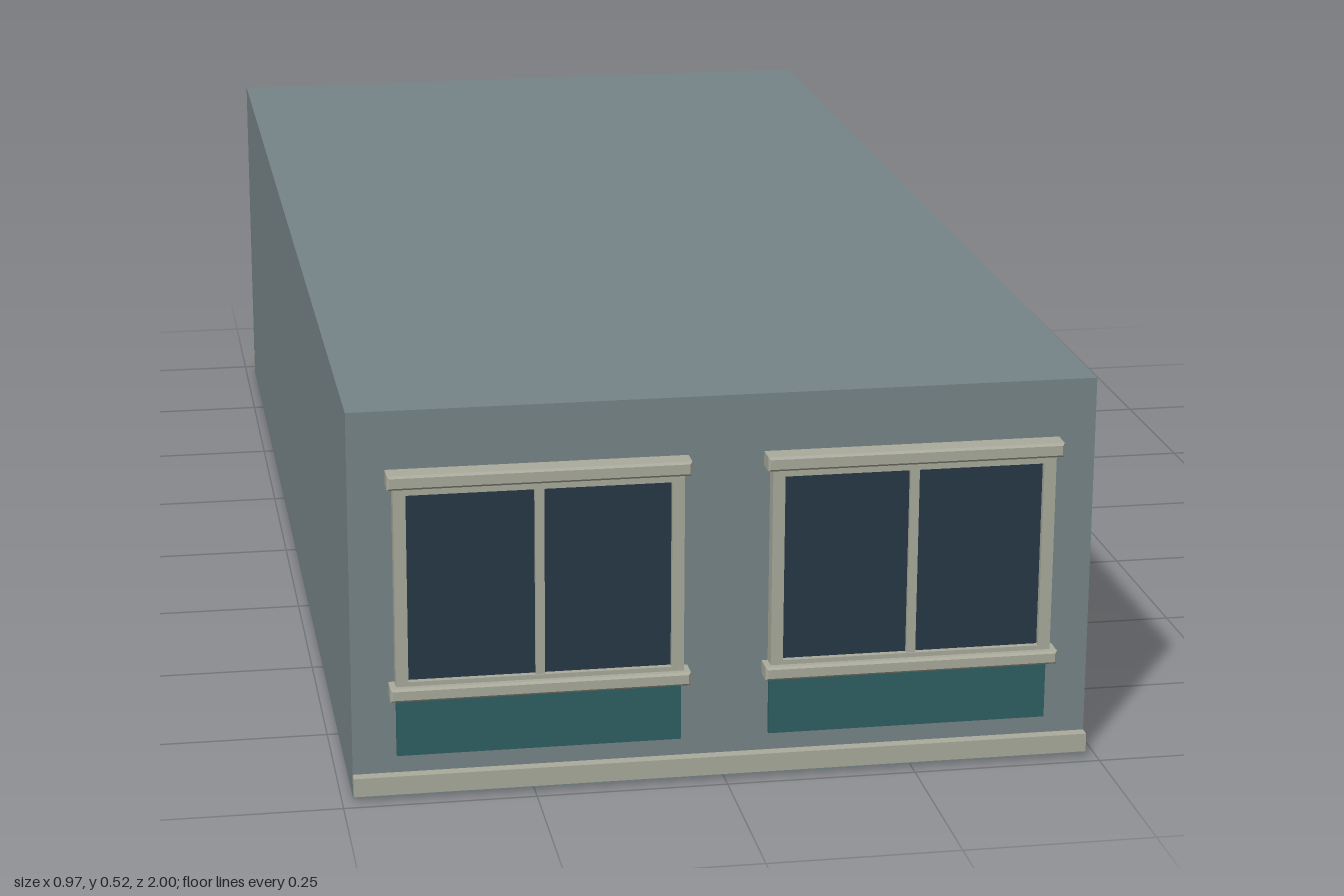
import * as THREE from 'three';

const paint = (color) => new THREE.MeshStandardMaterial({ color, flatShading: true });

export function createModel() {
  const wall = paint(0x778588), trim = paint(0xaaab9c), glass = paint(0x263845), teal = paint(0x2f5f62);
  const model = new THREE.Group();
  model.name = 'building';

  const add = (parent, name, geometry, material) => {
    const mesh = new THREE.Mesh(geometry, material);
    mesh.name = name;
    parent.add(mesh);
    return mesh;
  };

  // Plain box given by its limits on each axis
  const box = (parent, name, material, x0, x1, y0, y1, z0, z1) =>
    add(parent, name, new THREE.BoxGeometry(x1 - x0, y1 - y0, z1 - z0), material)
      .position.set((x0 + x1) / 2, (y0 + y1) / 2, (z0 + z1) / 2);

  // Bar with chamfered edges, given by its limits
  const bar = (parent, name, x0, x1, y0, y1, z0, z1, b = 0.003) => {
    const s = new THREE.Shape();
    s.moveTo(x0 + b, y0 + b);
    s.lineTo(x1 - b, y0 + b);
    s.lineTo(x1 - b, y1 - b);
    s.lineTo(x0 + b, y1 - b);
    s.closePath();
    const g = new THREE.ExtrudeGeometry(s, {
      depth: z1 - z0 - 2 * b, bevelEnabled: true, bevelSegments: 1, bevelSize: b, bevelThickness: b,
    });
    g.translate(0, 0, z0 + b);
    add(parent, name, g, trim);
  };

  box(model, 'body', wall, -0.485, 0.485, 0, 0.52, -0.97, 0.97);

  // Window centred on x = 0, on the wall at z = 0.97
  const makeWindow = () => {
    const w = new THREE.Group();
    w.name = 'window';
    box(w, 'glass', glass, -0.172, 0.172, 0.155, 0.426, 0.968, 0.982);
    for (const side of [-1, 1]) {
      const x = side * 0.178;
      box(w, 'frameSide', trim, x - 0.008, x + 0.008, 0.155, 0.426, 0.968, 0.99);
    }
    box(w, 'frameTop', trim, -0.17, 0.17, 0.414, 0.426, 0.968, 0.99);
    box(w, 'frameBottom', trim, -0.17, 0.17, 0.153, 0.164, 0.968, 0.99);
    box(w, 'mullion', trim, -0.006, 0.006, 0.16, 0.418, 0.968, 0.988);
    bar(w, 'lintel', -0.194, 0.194, 0.424, 0.443, 0.966, 1);
    bar(w, 'sill', -0.194, 0.194, 0.14, 0.158, 0.966, 1);
    box(w, 'lowerPanel', teal, -0.185, 0.185, 0.058, 0.142, 0.968, 0.977);
    return w;
  };

  // The same facade on both ends
  for (const turn of [0, Math.PI]) {
    const facade = new THREE.Group();
    facade.name = turn ? 'backFacade' : 'frontFacade';
    for (const x of [-0.243, 0.243]) {
      const w = makeWindow();
      w.position.x = x;
      facade.add(w);
    }
    box(facade, 'baseLedge', trim, -0.485, 0.485, 0.008, 0.033, 0.968, 0.985);
    facade.rotation.y = turn;
    model.add(facade);
  }
  return model;
}
